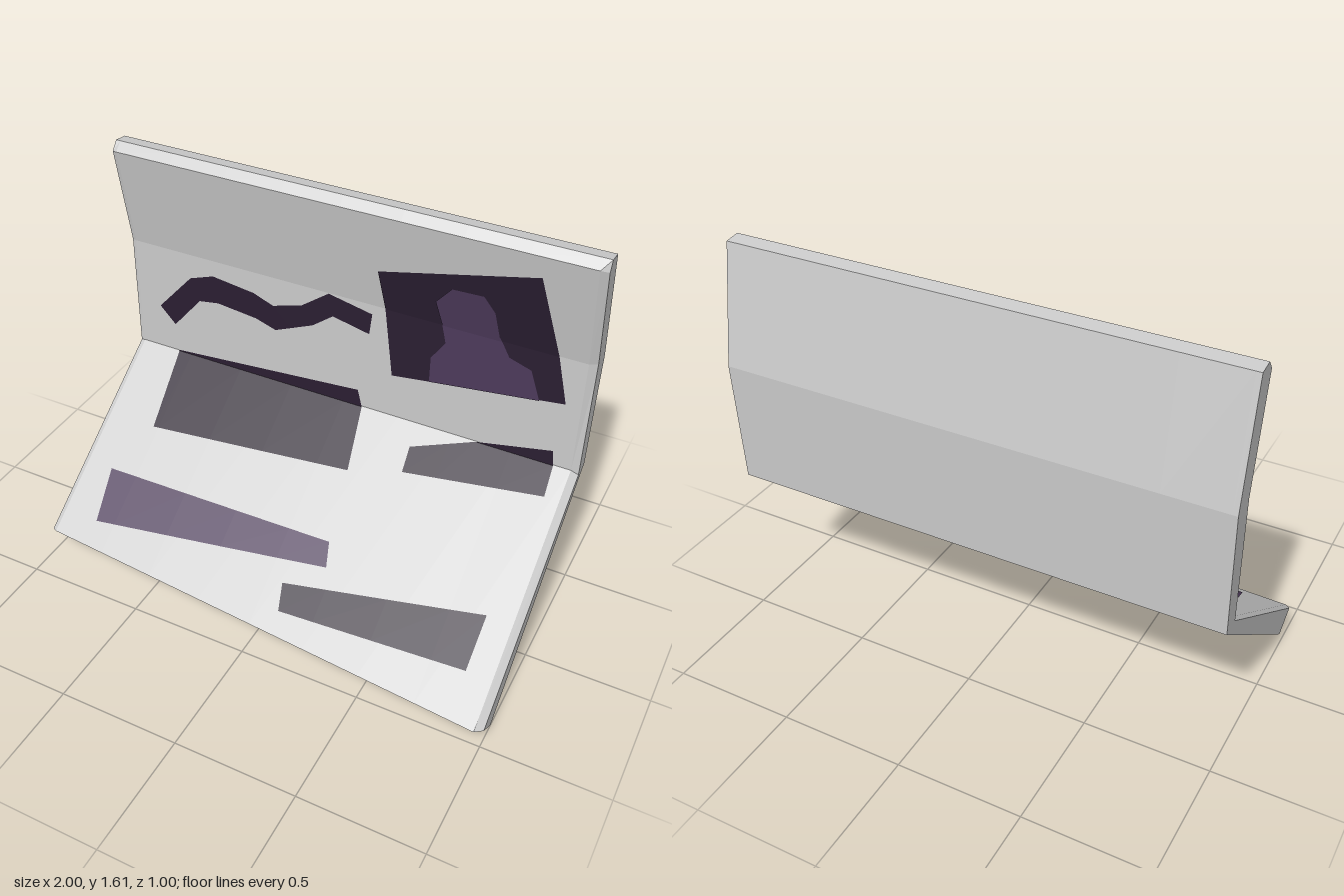
import * as THREE from 'three';
import { mergeGeometries } from 'three/addons/utils/BufferGeometryUtils.js';

const GREY = 0xcccccc, DARK = 0x2a1e31, PURPLE = 0x4d3a5b;
const FOLD = 0.64, BEND = 1.14, X0 = -0.98, X1 = 0.97;
const lerp = THREE.MathUtils.lerp;

// Closed cross-section [y, z]: up the front, over the top rim, down the back.
// The lower lip is skewed across the width.
function section(x, recess = 0) {
  const t = (x + 1) / (X1 + 1);
  const k = recess;
  return [
    [lerp(0.12, 0.067, t) - k * 0.4, lerp(0.365, 0.5, t) - k * 1.6],
    [FOLD - k, -0.4 - k * 0.5],
    [BEND, -0.4 - k],
    [1.575 - k * 0.5, -0.32 - k],
    [1.608, -0.355],
    [1.6, -0.415],
    [BEND - 0.01, -0.5],
    [0.63, -0.48],
    [lerp(0.06, 0.001, t), lerp(0.25, 0.388, t)],
  ];
}

// Folded sheet: lofted sections with chamfered side edges
function makeSheet() {
  const stations = [[-1, 0.006]];
  for (let i = 0; i <= 8; i++) stations.push([lerp(X0, X1, i / 8), 0]);
  stations.push([1, 0.018]);
  const rings = stations.map(([x, k]) =>
    section(Math.min(x, X1), k).map(([y, z]) => [x, Math.max(0, y), z]));
  const pos = [];
  const quad = (a, b, c, d) => pos.push(...a, ...b, ...c, ...a, ...c, ...d);
  const n = rings[0].length;
  for (let i = 0; i < rings.length - 1; i++) {
    for (let j = 0; j < n; j++) {
      const k = (j + 1) % n;
      quad(rings[i][j], rings[i + 1][j], rings[i + 1][k], rings[i][k]);
    }
  }
  // end caps pair each front point with its back point
  const L = rings[0], R = rings[rings.length - 1];
  for (let j = 0; j < 3; j++) {
    quad(L[j], L[j + 1], L[n - 2 - j], L[n - 1 - j]);
    quad(R[n - 1 - j], R[n - 2 - j], R[j + 1], R[j]);
  }
  pos.push(...L[3], ...L[4], ...L[5], ...R[5], ...R[4], ...R[3]);
  const g = new THREE.BufferGeometry();
  g.setAttribute('position', new THREE.Float32BufferAttribute(pos, 3));
  g.computeVertexNormals();
  return g;
}

// Depth of the front surface at (x, y)
function frontZ(x, y) {
  const s = section(x);
  let j = y < FOLD ? 0 : y < BEND ? 1 : 2;
  const [a, b] = [s[j], s[j + 1]];
  return lerp(a[1], b[1], (y - a[0]) / (b[0] - a[0]));
}

// Keep the part of a polygon where sign * (p[axis] - limit) >= 0
function clip(poly, axis, limit, sign) {
  const out = [];
  poly.forEach((p, i) => {
    const q = poly[(i + 1) % poly.length];
    const dp = sign * (p[axis] - limit), dq = sign * (q[axis] - limit);
    if (dp >= 0) out.push(p);
    if (dp * dq < 0) {
      const t = dp / (dp - dq);
      out.push([lerp(p[0], q[0], t), lerp(p[1], q[1], t)]);
    }
  });
  return out;
}

// Flat patch draped on the front, split at the folds and in columns
function drape(outline, lift) {
  const bands = [0, FOLD, BEND, 2], parts = [];
  for (let b = 0; b < 3; b++) {
    for (let c = 0; c < 8; c++) {
      let p = clip(clip(outline, 1, bands[b], 1), 1, bands[b + 1], -1);
      p = clip(clip(p, 0, lerp(X0, X1, c / 8), 1), 0, lerp(X0, X1, (c + 1) / 8), -1);
      if (p.length < 3) continue;
      const shape = new THREE.Shape(p.map(([x, y]) => new THREE.Vector2(x, y)));
      const g = new THREE.ShapeGeometry(shape);
      const a = g.attributes.position;
      for (let i = 0; i < a.count; i++) a.setZ(i, frontZ(a.getX(i), a.getY(i)) + lift);
      parts.push(g);
    }
  }
  const merged = mergeGeometries(parts.map((g) => g.toNonIndexed()));
  merged.computeVertexNormals();
  return merged;
}

// Printed patches: name, colour, lift, outline [x, y]
const PATCHES = [
  ['wavyBand', DARK, 0.004, [[-0.88, 0.85], [-0.72, 1.03], [-0.61, 1.07], [-0.42, 1.045],
    [-0.33, 1.01], [-0.2, 1.05], [-0.08, 1.14], [0.11, 1.1], [0.1, 1.005], [-0.06, 1.04],
    [-0.15, 0.97], [-0.32, 0.895], [-0.41, 0.925], [-0.59, 0.945], [-0.68, 0.93], [-0.81, 0.775]]],
  ['picturePanel', DARK, 0.004, [[0.14, 1.32], [0.775, 1.485], [0.91, 0.94], [0.205, 0.84]]],
  ['pictureFigure', PURPLE, 0.008, [[0.365, 0.865], [0.365, 0.98], [0.42, 1.065], [0.375, 1.25],
    [0.44, 1.33], [0.565, 1.335], [0.61, 1.27], [0.63, 1.16], [0.675, 1.08], [0.765, 1.05], [0.81, 0.925]]],
  ['largeBlock', DARK, 0.005, [[-0.8, 0.645], [0.06, 0.72], [0.08, 0.64], [0.13, 0.49], [-0.76, 0.44]]],
  ['smallBlock', DARK, 0.005, [[0.335, 0.585], [0.89, 0.71], [0.91, 0.57], [0.345, 0.525]]],
  ['purpleStrip', PURPLE, 0.005, [[-0.86, 0.31], [0.175, 0.325], [0.205, 0.27], [-0.82, 0.18]]],
  ['darkStrip', DARK, 0.005, [[0.06, 0.205], [0.865, 0.295], [0.865, 0.175], [0.09, 0.145]]],
];

export function createModel() {
  const group = new THREE.Group();
  group.name = 'foldedSheet';
  const sheet = new THREE.Mesh(makeSheet(),
    new THREE.MeshStandardMaterial({ color: GREY, flatShading: true }));
  sheet.name = 'sheet';
  group.add(sheet);
  for (const [name, color, lift, outline] of PATCHES) {
    const mesh = new THREE.Mesh(drape(outline, lift),
      new THREE.MeshStandardMaterial({ color, side: THREE.DoubleSide }));
    mesh.name = name;
    group.add(mesh);
  }
  return group;
}
